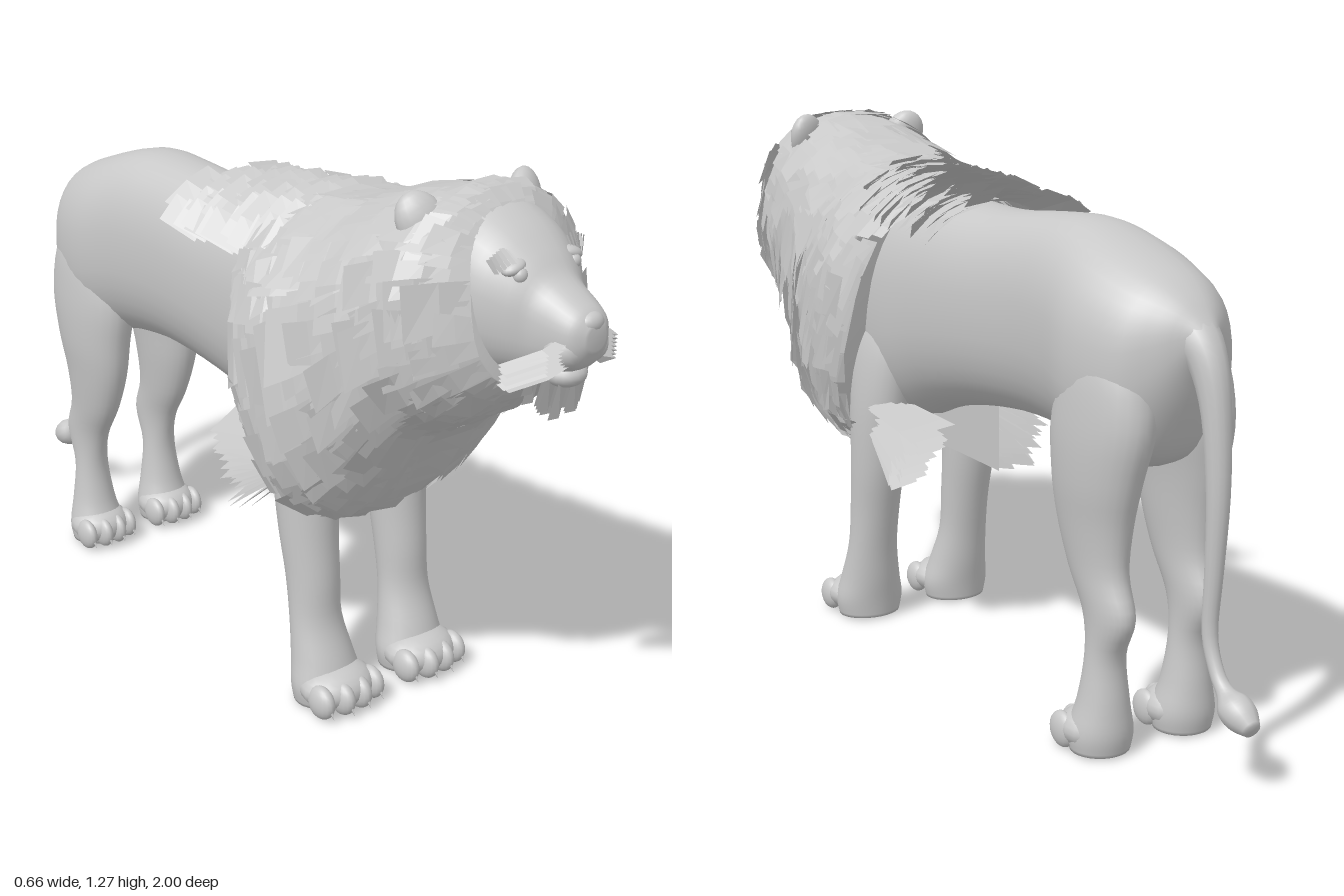
import * as THREE from 'three';

const V = (x, y, z) => new THREE.Vector3(x, y, z);
const fur = new THREE.MeshStandardMaterial({ color: 0xc8c8c8 });
fur.name = 'fur';
fur.side = THREE.DoubleSide;

let seed = 7;
const rnd = (a, b) => {
  seed = (seed * 16807) % 2147483647;
  return a + (b - a) * seed / 2147483647;
};
const pw = (v, n) => Math.sign(v) * Math.abs(v) ** (2 / n);

// Catmull-Rom value of a table of rows at parameter t
function rowAt(rows, t) {
  const last = rows.length - 1, i = Math.min(Math.floor(t), last - 1), f = t - i;
  const r = k => rows[Math.max(0, Math.min(last, k))];
  return rows[0].map((_, c) => {
    const [p, q, s, u] = [r(i - 1)[c], r(i)[c], r(i + 1)[c], r(i + 2)[c]];
    return q + 0.5 * f * (s - p + f * (2 * p - 5 * q + 4 * s - u + f * (3 * (q - s) + u - p)));
  });
}

// Smooth closed skin over elliptical sections; section(row, angle) gives a point
function loft(rows, section, n = 28, sub = 4) {
  const pos = [], idx = [], count = (rows.length - 1) * sub + 1;
  for (let i = 0; i < count; i++) {
    const row = rowAt(rows, i / sub);
    for (let j = 0; j < n; j++) pos.push(...section(row, j / n * Math.PI * 2).toArray());
  }
  for (let i = 0; i < count - 1; i++) for (let j = 0; j < n; j++) {
    const a = i * n + j, b = i * n + (j + 1) % n;
    idx.push(a, b, a + n, b, b + n, a + n);
  }
  for (const [r, flip] of [[0, true], [count - 1, false]]) {
    const c = V(0, 0, 0);
    for (let j = 0; j < n; j++) c.add(V(...pos.slice((r * n + j) * 3, (r * n + j) * 3 + 3)));
    const ci = pos.length / 3;
    pos.push(...c.divideScalar(n).toArray());
    for (let j = 0; j < n; j++) {
      const a = r * n + j, b = r * n + (j + 1) % n;
      idx.push(...(flip ? [ci, b, a] : [ci, a, b]));
    }
  }
  const g = new THREE.BufferGeometry();
  g.setAttribute('position', new THREE.Float32BufferAttribute(pos, 3));
  g.setIndex(idx);
  g.computeVertexNormals();
  return g;
}

// Flat hair plates from a list of four-corner arrays
function plates(quads) {
  const pos = [];
  for (const [a, b, c, d] of quads) for (const p of [a, b, c, a, c, d]) pos.push(p.x, p.y, p.z);
  const g = new THREE.BufferGeometry();
  g.setAttribute('position', new THREE.Float32BufferAttribute(pos, 3));
  g.computeVertexNormals();
  return g;
}

const alongZ = ([z, top, bot, w], a) =>
  V(w * pw(Math.cos(a), 2.3), (top + bot) / 2 + (top - bot) / 2 * pw(Math.sin(a), 2.3), z);
const alongY = ([y, x, z, rx, rz], a) => V(x + rx * Math.cos(a), y, z + rz * Math.sin(a));

// Mane sections: top z, top y, bottom z, bottom y, half width
const maneRows = [
  [.77, 1.225, .85, .895, .15], [.70, 1.265, .76, .81, .235], [.55, 1.23, .65, .74, .25],
  [.40, 1.18, .55, .60, .272], [.28, 1.16, .46, .50, .295], [.19, 1.13, .38, .45, .29],
  [.11, 1.09, .32, .46, .25]];
function manePoint([tz, ty, bz, by, w], a, lift) {
  const c = pw(Math.cos(a), 2.4) * (1 + lift) * (1 - .07 * Math.sin(a)), s = pw(Math.sin(a), 2.4) * (1 + lift * .4);
  return V(w * c, (ty + by) / 2 + (ty - by) / 2 * s, (tz + bz) / 2 + (tz - bz) / 2 * s);
}

export function createModel() {
  const lion = new THREE.Group();
  lion.name = 'lion';
  const add = (name, geo, parent = lion) => {
    const m = new THREE.Mesh(geo, fur);
    m.name = name;
    parent.add(m);
    return m;
  };
  const ball = (name, x, y, z, sx, sy, sz, parent) => {
    const m = add(name, new THREE.SphereGeometry(1, 18, 12), parent);
    m.position.set(x, y, z);
    m.scale.set(sx, sy, sz);
    return m;
  };

  // Body
  add('body', loft([
    [-.83, .92, .88, .02], [-.805, .95, .85, .045], [-.765, .99, .74, .098], [-.70, 1.03, .63, .155],
    [-.58, 1.075, .61, .181], [-.45, 1.108, .635, .162], [-.30, 1.105, .645, .15], [-.10, 1.09, .63, .155],
    [.10, 1.10, .59, .165], [.25, 1.11, .54, .175], [.40, 1.11, .55, .17], [.50, 1.11, .62, .16]], alongZ, 36));

  // Legs and paws on both sides
  const frontLegRows = [
    [.82, .10, .30, .05, .08], [.72, .115, .30, .07, .105], [.58, .13, .30, .07, .092],
    [.42, .133, .312, .066, .074], [.30, .133, .33, .062, .063], [.20, .134, .343, .063, .056],
    [.11, .131, .365, .076, .066], [.05, .129, .378, .088, .07], [.005, .129, .378, .08, .065]];
  const hindLegRows = [
    [.95, .05, -.62, .05, .06], [.85, .085, -.625, .08, .11], [.72, .10, -.614, .085, .145],
    [.60, .11, -.605, .074, .128], [.50, .11, -.60, .062, .108], [.40, .11, -.615, .05, .086],
    [.31, .11, -.655, .043, .075], [.22, .11, -.645, .043, .046], [.12, .11, -.64, .056, .056],
    [.05, .11, -.63, .072, .07], [.005, .11, -.63, .066, .062]];
  function paw(name, x, z, w) {
    const g = new THREE.Group();
    g.name = name;
    g.position.set(x, 0, z);
    lion.add(g);
    ball('pad', 0, .05, .02, w, .05, .075, g);
    for (let i = 0; i < 4; i++) {
      const tx = (i - 1.5) * w * .52, tz = .075 - Math.abs(i - 1.5) * .014;
      ball('toe', tx, .042, tz, w * .25, .04, .04, g);
      const claw = add('claw', new THREE.ConeGeometry(.008, .035, 6), g);
      claw.position.set(tx, .03, tz + .035);
      claw.rotation.x = 2.5;
    }
  }
  for (const s of [1, -1]) {
    const section = ([y, x, z, rx, rz], a) => alongY([y, x * s, z, rx, rz], a);
    add('frontLeg', loft(frontLegRows, section));
    add('hindLeg', loft(hindLegRows, section));
    paw('frontPaw', .128 * s, .395, .094);
    paw('hindPaw', .11 * s, -.635, .08);
  }

  // Tail with tuft; y, z, radius along its length
  const tailRows = [
    [.91, -.72, .04], [.905, -.775, .052], [.86, -.82, .041], [.76, -.85, .031], [.60, -.863, .025],
    [.44, -.857, .02], [.31, -.85, .017], [.235, -.875, .016], [.20, -.905, .02], [.18, -.93, .036],
    [.165, -.96, .034], [.15, -.99, .018]];
  const tailTable = tailRows.map((r, i) => {
    const a = tailRows[Math.max(0, i - 1)], b = tailRows[Math.min(tailRows.length - 1, i + 1)];
    const l = Math.hypot(b[0] - a[0], b[1] - a[1]);
    return [...r, (b[0] - a[0]) / l, (b[1] - a[1]) / l];
  });
  add('tail', loft(tailTable, ([y, z, r, dy, dz], a) =>
    V(r * Math.cos(a), y + r * dz * Math.sin(a), z - r * dy * Math.sin(a)), 14));

  // Head
  add('head', loft([
    [.50, 1.16, .85, .13], [.62, 1.23, .88, .15], [.72, 1.25, .90, .152], [.80, 1.22, .91, .142],
    [.86, 1.175, .925, .11], [.90, 1.135, .935, .08], [.95, 1.105, .955, .066],
    [.98, 1.085, .975, .052], [.998, 1.06, 1.01, .025]], alongZ, 32));
  ball('nose', 0, 1.062, .98, .03, .022, .02);
  ball('chin', 0, .945, .925, .045, .028, .042);
  const brows = [], whiskers = [];
  for (const s of [1, -1]) {
    ball('muzzle', .032 * s, 1.005, .945, .042, .04, .042);
    ball('eye', .073 * s, 1.138, .862, .016, .016, .014);
    ball('eyelid', .078 * s, 1.152, .848, .028, .014, .02).rotation.z = -.3 * s;
    ball('ear', .14 * s, 1.205, .66, .052, .068, .032).rotation.set(-.25, .4 * s, -.4 * s);
    for (let i = 0; i < 7; i++) {
      const x = .065 + i * .008, y = 1.172 - Math.abs(i - 2) * .004;
      brows.push([V(x * s, y - .012, .87 - i * .004), V((x + .008) * s, y - .012, .865 - i * .004),
        V((x + .022) * s, y + .016, .83), V((x + .012) * s, y + .018, .835)]);
      const wy = 1.03 - i * .008, e = rnd(.12, .145);
      const pts = [[.045, wy, .975], [.095, wy - .018, .968], [e, wy - .058, .90]].map(p => V(p[0] * s, p[1], p[2]));
      for (let k = 0; k < 2; k++) {
        const up = V(0, .007, -.02);
        whiskers.push([pts[k], pts[k + 1], pts[k + 1].clone().add(up), pts[k].clone().add(up)]);
      }
    }
  }
  add('brows', plates(brows));
  add('whiskers', plates(whiskers));

  // Beard hanging from the chin
  const beard = [];
  for (let i = 0; i < 30; i++) {
    const x = rnd(-.036, .036), z = rnd(.87, .955), y = rnd(.85, .88), w = .013;
    beard.push([V(x - w, .955, z), V(x + w, .955, z), V(x * 1.15 + w, y, z - .02), V(x * 1.15 - w, y, z - .025)]);
  }
  add('beard', plates(beard));

  // Mane core, then overlapping, flaring rows of ragged plates around it
  add('maneCore', loft(maneRows.slice(0, 6).reverse(), (row, a) => manePoint(row, a, -.05), 36));
  for (let r = 0; r < 14; r++) {
    const row = [], t0 = r * .4, n = 34;
    for (let i = 0; i < n; i++) {
      const a = (i + rnd(-.4, .4)) / n * Math.PI * 2, h = Math.PI / n * rnd(1.1, 2.1), skew = rnd(-.07, .07);
      const t1 = Math.min(6, t0 + rnd(.55, 1.15)), end = rnd(.02, .12), tilt = rnd(-.03, .03);
      const at = (t, ang, l) => manePoint(rowAt(maneRows, t), ang, l);
      const p = [[t0, -.02, 0], [(t0 + t1) / 2, end * .6, .5], [t1, end, 1]].map(([t, l, f]) =>
        [at(t, a - h + skew * f, l - tilt * f), at(t, a + h + skew * f, l + tilt * f)]);
      for (let k = 0; k < 2; k++) row.push([p[k][0], p[k][1], p[k + 1][1], p[k + 1][0]]);
    }
    add('maneRow', plates(row));
  }

  // Crest of plates running back over the shoulders
  const crest = [];
  for (let r = 0; r < 12; r++) for (let i = -4; i <= 4; i++) {
    const z0 = .36 - r * .036, z1 = z0 - rnd(.07, .12), a = i * .215 + rnd(-.05, .05), h = .16, end = rnd(.01, .03);
    const at = (z, ang, up) => V(Math.sin(ang) * (.235 + up), .93 + up + Math.cos(ang) * (.196 + z * .12), z);
    crest.push([at(z0, a - h, -.02), at(z0, a + h, -.015), at(z1, a + h, end + .006), at(z1, a - h, end)]);
  }
  add('crest', plates(crest));

  // Hair tufts behind the elbows and a thin fringe under the chest
  for (const s of [1, -1]) {
    const tuft = [];
    for (let i = 0; i < 34; i++) {
      const f = i / 33, x = rnd(.09, .15), len = rnd(.20, .24) - f * .04, ang = .02 + f * .9;
      const y = .595 - f * .09, z = .235, dz = -Math.cos(ang) * len, dy = -Math.sin(ang) * len * .62;
      tuft.push([V(x * s, y, z), V((x + .05) * s, y - .012, z),
        V((x + .06) * s, y + dy - .016, z + dz * .9), V((x - .005) * s, y + dy, z + dz)]);
    }
    add('elbowTuft', plates(tuft));
  }
  add('chestFringe', plates([[V(0, .62, .3), V(0, .64, -.05), V(0, .46, -.05), V(0, .47, .3)]]));
  return lion;
}
